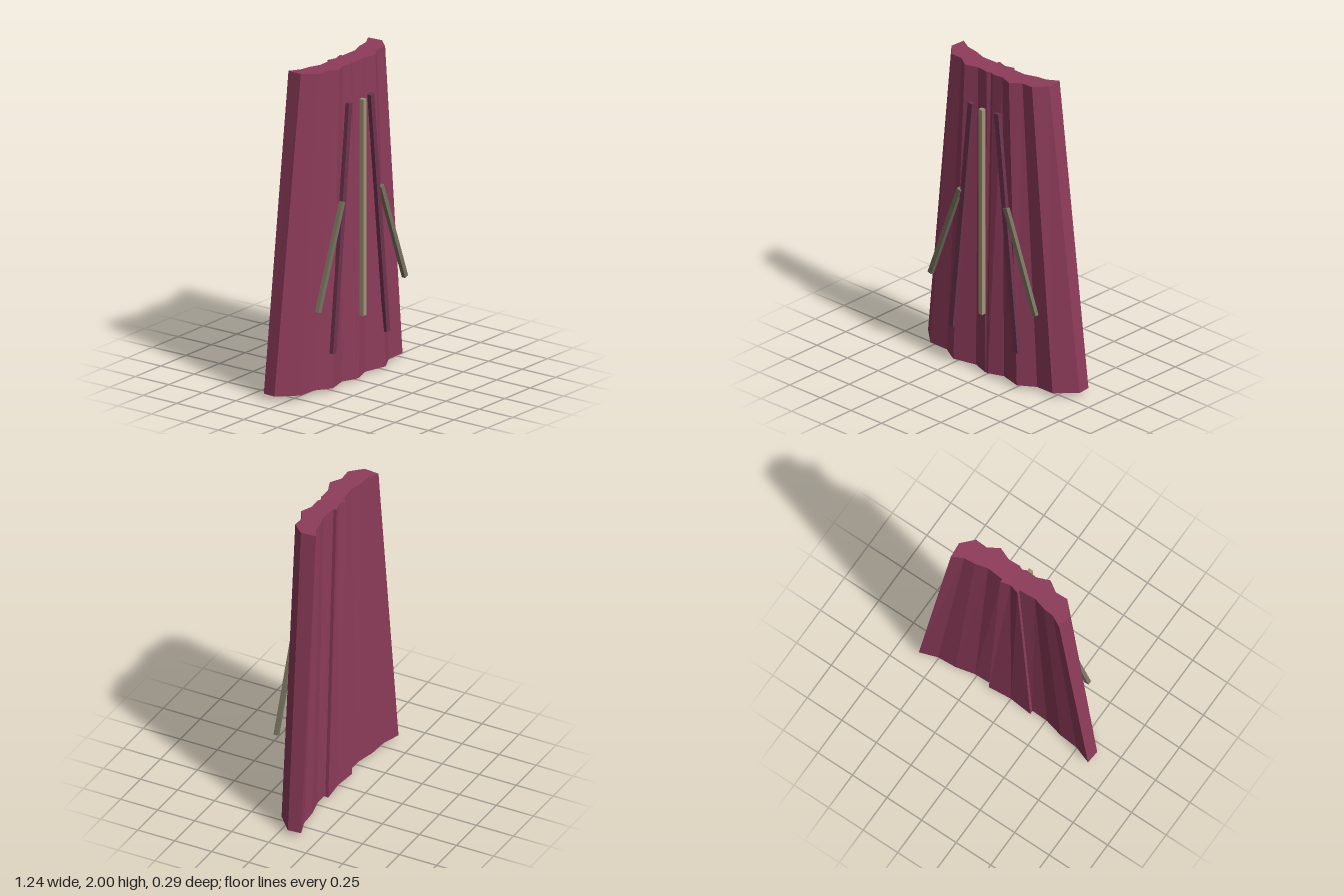
import * as THREE from 'three';

const cloth = new THREE.MeshStandardMaterial({ color: 0x8e3c5a, flatShading: true });
const darkTrim = new THREE.MeshStandardMaterial({ color: 0x6e334e, flatShading: true });
const greenTrim = new THREE.MeshStandardMaterial({ color: 0x77725f, flatShading: true });
const tanTrim = new THREE.MeshStandardMaterial({ color: 0xa09578, flatShading: true });

// Mirrors a half section listed from the centre front round to the centre back.
function fullLoop(half) {
  const mirrored = half.slice(1, -1).reverse().map(([x, y, z]) => [-x, y, z]);
  return [...half, ...mirrored];
}

// Closed solid between a bottom and a top loop, with capped ends.
function loft(bottom, top) {
  const pos = [];
  const tri = (...pts) => pts.forEach((p) => pos.push(...p));
  const n = bottom.length;
  for (let i = 0; i < n; i++) {
    const j = (i + 1) % n;
    tri(bottom[i], bottom[j], top[j]);
    tri(bottom[i], top[j], top[i]);
  }
  const cap = (loop, up) => {
    const contour = loop.map(([x, , z]) => new THREE.Vector2(x, -z));
    for (const [a, b, c] of THREE.ShapeUtils.triangulateShape(contour, [])) {
      if (up) tri(loop[a], loop[b], loop[c]);
      else tri(loop[a], loop[c], loop[b]);
    }
  };
  cap(top, true);
  cap(bottom, false);
  const geo = new THREE.BufferGeometry();
  geo.setAttribute('position', new THREE.Float32BufferAttribute(pos, 3));
  geo.computeVertexNormals();
  return geo;
}

// Flat bar running between two points in the front plane.
function bar(name, [x1, y1], [x2, y2], width, z, depth, material) {
  const length = Math.hypot(x2 - x1, y2 - y1);
  const mesh = new THREE.Mesh(new THREE.BoxGeometry(width, length, depth), material);
  mesh.position.set((x1 + x2) / 2, (y1 + y2) / 2, z);
  mesh.rotation.z = -Math.atan2(x2 - x1, y2 - y1);
  mesh.name = name;
  return mesh;
}

export function createModel() {
  const group = new THREE.Group();
  group.name = 'pleatedPanel';

  // Pleated cloth: [x, z] half sections at the top edge and at the hem
  const topHalf = [
    [0, 0.05], [0.025, 0.062], [0.1, 0.057], [0.18, 0.088], [0.25, 0.043], [0.33, 0.046],
    [0.4, -0.03], [0.392, -0.128], [0.32, -0.09], [0.25, -0.083], [0.17, -0.06], [0.06, -0.068], [0, -0.05],
  ];
  const hemHalf = [
    [0, 0.09], [0.012, 0.092], [0.115, 0.06], [0.26, 0.103], [0.37, 0.042], [0.5, 0.047],
    [0.62, -0.06], [0.612, -0.145], [0.5, -0.105], [0.38, -0.095], [0.26, -0.065], [0.15, -0.06], [0, -0.045],
  ];
  const topY = (x) => 1.985 + 0.015 * (x / 0.4);
  const hemY = (x) => 0.01 + 0.02 * (x / 0.62);
  const body = new THREE.Mesh(
    loft(
      fullLoop(hemHalf.map(([x, z]) => [x, hemY(x), z])),
      fullLoop(topHalf.map(([x, z]) => [x, topY(x), z])),
    ),
    cloth,
  );
  body.name = 'pleatedCloth';
  group.add(body);

  // Thin raised strip widening down the middle of the back
  const backStrip = new THREE.Mesh(
    loft(
      fullLoop([[0, 0.003, -0.035], [0.15, 0.003, -0.055], [0.15, 0, -0.08], [0, 0, -0.066]]),
      fullLoop([[0, 1.986, -0.045], [0.062, 1.987, -0.062], [0.062, 1.987, -0.088], [0, 1.986, -0.07]]),
    ),
    cloth,
  );
  backStrip.name = 'backStrip';
  group.add(backStrip);

  // Front trims
  group.add(bar('centreTrim', [0, 0.415], [0, 1.772], 0.03, 0.13, 0.03, tanTrim));
  for (const side of [1, -1]) {
    const label = side > 0 ? 'left' : 'right';
    group.add(bar(label + 'InnerTrim', [0.265 * side, 0.24], [0.107 * side, 1.77], 0.035, 0.108, 0.026, darkTrim));
    group.add(bar(label + 'OuterTrim', [0.428 * side, 0.542], [0.19 * side, 1.176], 0.03, 0.12, 0.026, greenTrim));
  }
  return group;
}
